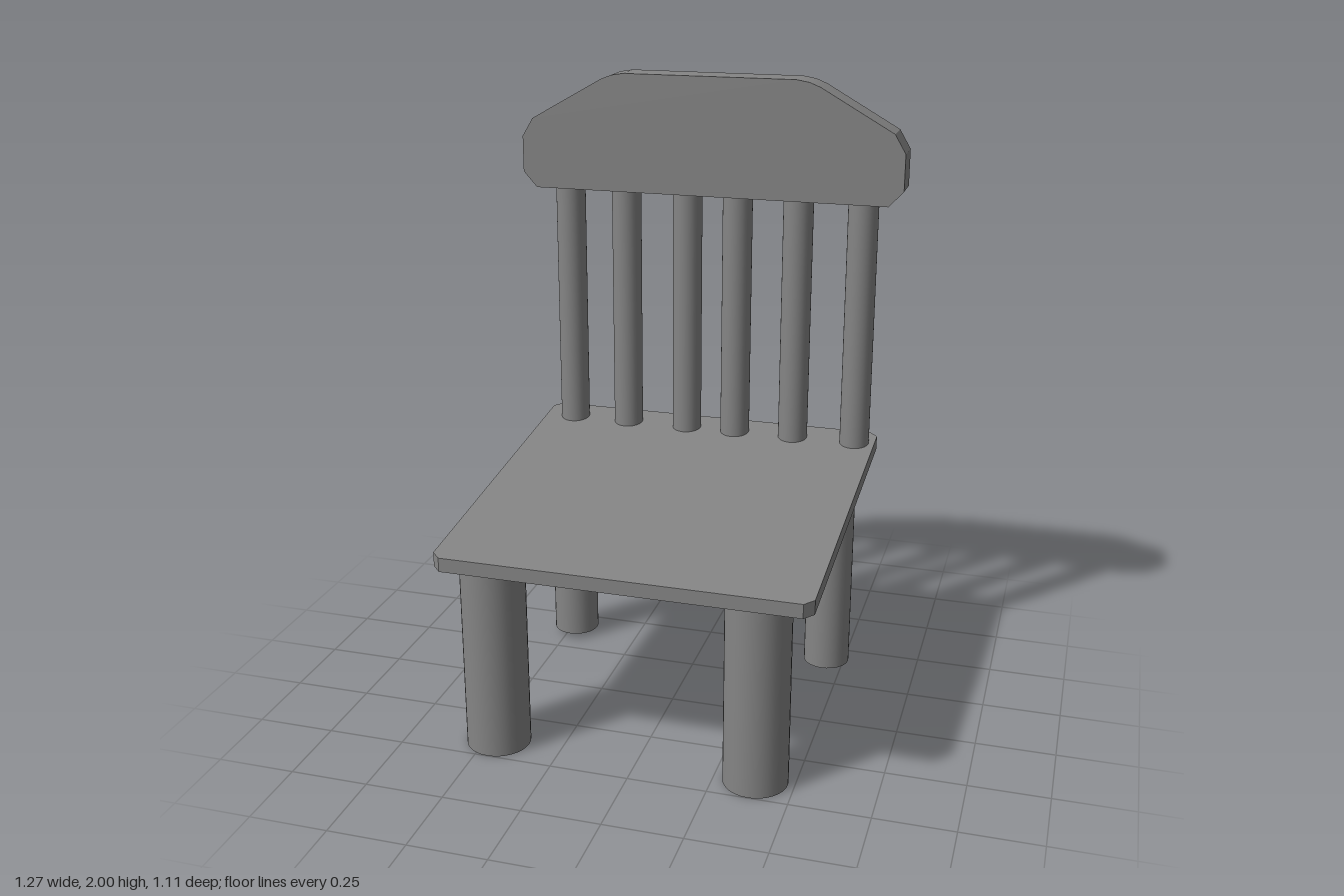
import * as THREE from 'three';
import { toCreasedNormals } from 'three/addons/utils/BufferGeometryUtils.js';

const material = new THREE.MeshStandardMaterial({ color: 0x858585 });

function add(group, name, geometry, x = 0, y = 0, z = 0) {
  const mesh = new THREE.Mesh(geometry, material);
  mesh.name = name;
  mesh.position.set(x, y, z);
  group.add(mesh);
}

// Upright round post between two heights
function post(group, name, radius, x, z, bottom, top) {
  const geometry = new THREE.CylinderGeometry(radius, radius, top - bottom, 32);
  add(group, name, geometry, x, (bottom + top) / 2, z);
}

function extrude(points, depth) {
  const shape = new THREE.Shape(points.map(([x, y]) => new THREE.Vector2(x, y)));
  return new THREE.ExtrudeGeometry(shape, { depth, bevelEnabled: false });
}

// Slab with clipped corners, sheared so that it rises towards the back
function seatGeometry() {
  const l = -0.593, r = 0.567, b = -0.552, f = 0.553, c = 0.028;
  const geometry = extrude([
    [l + c, b], [r - c, b], [r, b + c], [r, f - c],
    [r - c, f], [l + c, f], [l, f - c], [l, b + c],
  ], 0.045);
  geometry.rotateX(-Math.PI / 2);
  const p = geometry.attributes.position;
  for (let i = 0; i < p.count; i++) {
    p.setY(i, p.getY(i) + 0.643 + (0.552 - p.getZ(i)) * 0.111);
  }
  geometry.computeVertexNormals();
  return geometry;
}

export function createModel() {
  const chair = new THREE.Group();
  chair.name = 'chair';

  add(chair, 'seat', seatGeometry());

  // Legs: thick in front, thinner and slightly shorter behind
  post(chair, 'frontLegRight', 0.101, -0.459, 0.398, 0, 0.68);
  post(chair, 'frontLegLeft', 0.101, 0.378, 0.398, 0, 0.68);
  post(chair, 'backLegRight', 0.077, -0.475, -0.39, 0.02, 0.77);
  post(chair, 'backLegLeft', 0.077, 0.445, -0.39, 0.02, 0.77);

  // Back spindles
  [-0.49, -0.294, -0.084, 0.086, 0.288, 0.499].forEach((x, i) => {
    post(chair, `spindle${i + 1}`, 0.049, x, -0.467, 0.78, 1.626);
  });

  // Top rail: half outline, mirrored, shaded smoothly along the crown
  const half = [[0.587, 1.617], [0.633, 1.668], [0.633, 1.785], [0.597, 1.845],
    [0.36, 1.979], [0.325, 1.993], [0.283, 2]];
  const mirrored = half.map(([x, y]) => [-x, y]).reverse();
  const rail = toCreasedNormals(extrude([...half, ...mirrored], 0.106), 0.45);
  add(chair, 'topRail', rail, 0, 0, -0.511);

  return chair;
}
